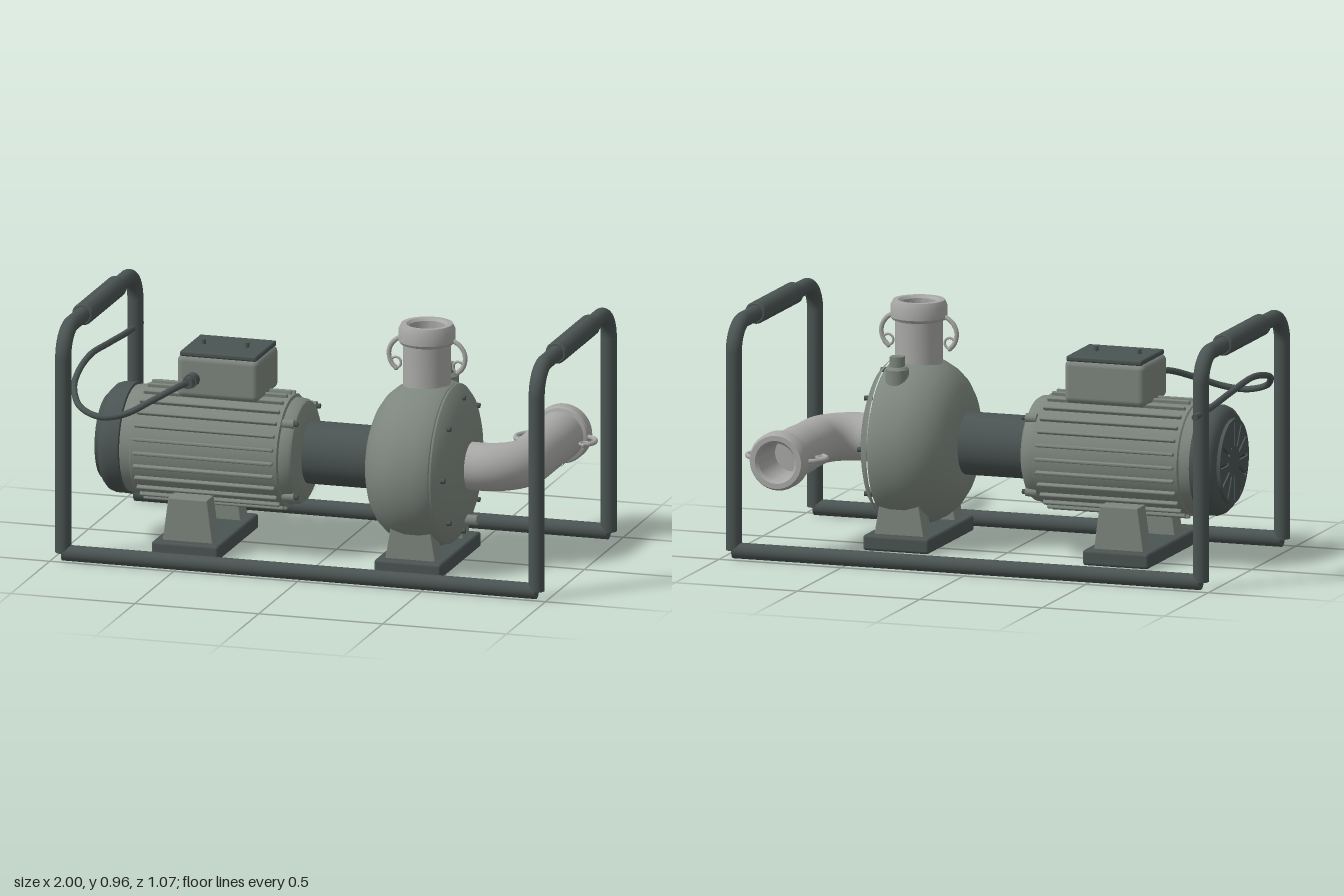
import * as THREE from 'three';
import { toCreasedNormals } from 'three/addons/utils/BufferGeometryUtils.js';
import { RoundedBoxGeometry } from 'three/addons/geometries/RoundedBoxGeometry.js';

const paint = (name, hex) => {
  const m = new THREE.MeshStandardMaterial({ color: hex });
  m.name = name;
  return m;
};
const V = (x, y, z) => new THREE.Vector3(x, y, z);
const AXIS_Y = 0.405, AXIS_Z = 0.082; // shared shaft line of motor and pump

export function createModel() {
  const model = new THREE.Group();
  const dark = paint('darkSteel', 0x4a5452);
  const grey = paint('castGrey', 0x7d867e);
  const pale = paint('paleMetal', 0xa8a8a6);
  const black = paint('shadowBlack', 0x2b3130);

  const add = (name, geo, mat, x = 0, y = 0, z = 0, parent = model) => {
    const mesh = new THREE.Mesh(geo, mat);
    mesh.name = name;
    mesh.position.set(x, y, z);
    parent.add(mesh);
    return mesh;
  };
  const lathe = (pts, seg = 48) => toCreasedNormals(
    new THREE.LatheGeometry(pts.map(p => new THREE.Vector2(...p)), seg), 0.5);
  // profile points are [x along the shaft, radius]
  const shaftLathe = (name, pts, mat, seg) => add(name,
    lathe(pts.map(([x, r]) => [r, x]), seg).rotateZ(-Math.PI / 2), mat, 0, AXIS_Y, AXIS_Z);
  const rod = (r, len, axis, seg = 24) => {
    const g = new THREE.CylinderGeometry(r, r, len, seg);
    if (axis === 'x') g.rotateZ(-Math.PI / 2);
    if (axis === 'z') g.rotateX(Math.PI / 2);
    return g;
  };
  const path = (...curves) => {
    const p = new THREE.CurvePath();
    curves.forEach(c => p.add(c));
    return p;
  };

  // Carrying frame: two rails, two arches, padded grips
  const R = 0.031, ZF = 0.47, ZB = -0.457, TOP = 0.918, BEND = 0.11;
  for (const z of [ZF, ZB]) add('frameRail', rod(R, 1.91, 'x'), dark, 0, 0.033, z);
  for (const x of [-0.955, 0.955]) {
    for (const z of [ZF, ZB]) add('frameUpright', rod(R, TOP - BEND - 0.035, 'y'), dark, x, (TOP - BEND + 0.035) / 2, z);
    const arch = path(
      new THREE.LineCurve3(V(x, TOP - BEND - 0.01, ZF), V(x, TOP - BEND, ZF)),
      new THREE.CubicBezierCurve3(V(x, TOP - BEND, ZF), V(x, TOP - BEND * 0.45, ZF), V(x, TOP, ZF - BEND * 0.45), V(x, TOP, ZF - BEND)),
      new THREE.LineCurve3(V(x, TOP, ZF - BEND), V(x, TOP, ZB + BEND)),
      new THREE.CubicBezierCurve3(V(x, TOP, ZB + BEND), V(x, TOP, ZB + BEND * 0.45), V(x, TOP - BEND * 0.45, ZB), V(x, TOP - BEND, ZB)),
      new THREE.LineCurve3(V(x, TOP - BEND, ZB), V(x, TOP - BEND - 0.01, ZB)));
    add('frameArch', new THREE.TubeGeometry(arch, 90, R, 20), dark);
    add('grip', lathe([[0, -0.22], [0.037, -0.22], [0.043, -0.213], [0.043, 0.213], [0.037, 0.22], [0, 0.22]], 28)
      .rotateX(Math.PI / 2), dark, x, TOP, 0.005);
  }

  // Base plates with tapered support blocks
  const bracket = (x, top) => {
    add('basePlate', new RoundedBoxGeometry(0.27, 0.061, 0.525, 3, 0.012), dark, x, 0.04, AXIS_Z);
    const s = new THREE.Shape();
    s.moveTo(-0.098, 0.065);
    s.lineTo(0.098, 0.065);
    s.lineTo(0.075, top);
    s.lineTo(-0.075, top);
    s.closePath();
    for (const z of [0.222, -0.138]) add('supportBlock', new THREE.ExtrudeGeometry(s,
      { depth: 0.08, bevelEnabled: true, bevelSize: 0.004, bevelThickness: 0.004, bevelSegments: 2 }), grey, x, 0, z);
  };
  bracket(-0.505, 0.235);
  bracket(0.393, 0.2);

  // Motor: body, ribs, end bells, fan cowl
  shaftLathe('motorBody', [[-0.8, 0], [-0.8, 0.19], [-0.79, 0.207], [-0.745, 0.212], [-0.74, 0.218], [-0.15, 0.218],
    [-0.145, 0.208], [-0.11, 0.204], [-0.098, 0.196], [-0.085, 0.17], [-0.078, 0.14], [-0.078, 0]], grey);
  const RIBS = 26;
  for (let i = 0; i < RIBS; i++) {
    const a = (i + 0.5) / RIBS * Math.PI * 2;
    const rib = add('coolingRib', new RoundedBoxGeometry(0.565, 0.026, 0.013, 2, 0.005), grey,
      -0.445, AXIS_Y + Math.cos(a) * 0.22, AXIS_Z + Math.sin(a) * 0.22);
    rib.rotation.x = a;
  }
  for (let i = 0; i < 4; i++) {
    const a = Math.PI / 4 + i * Math.PI / 2;
    const y = AXIS_Y + Math.cos(a) * 0.205, z = AXIS_Z + Math.sin(a) * 0.205;
    add('endBellLug', rod(0.018, 0.045, 'x', 16), grey, -0.122, y, z);
    add('endBellBolt', rod(0.01, 0.02, 'x', 6), dark, -0.094, y, z);
  }
  shaftLathe('fanCowl', [[-0.885, 0], [-0.885, 0.165], [-0.878, 0.19], [-0.862, 0.207], [-0.84, 0.215],
    [-0.79, 0.215], [-0.785, 0.205], [-0.785, 0]], dark);
  const disc = new THREE.Shape().absarc(0, 0, 0.165, 0, Math.PI * 2);
  for (let i = 0; i < 12; i++) {
    const a = i * Math.PI / 6, c = Math.cos(a), s = Math.sin(a);
    const corner = (r, t) => new THREE.Vector2(r * c - t * s, r * s + t * c);
    disc.holes.push(new THREE.Path([corner(0.06, -0.006), corner(0.06, 0.006), corner(0.152, 0.006), corner(0.152, -0.006), corner(0.06, -0.006)]));
  }
  add('fanGrille', new THREE.ExtrudeGeometry(disc, { depth: 0.016, bevelEnabled: false, curveSegments: 40 })
    .rotateY(-Math.PI / 2), dark, -0.883, AXIS_Y, AXIS_Z);
  add('fanShadow', rod(0.155, 0.004, 'x', 40), black, -0.886, AXIS_Y, AXIS_Z);

  // Terminal box, lid, screws and cable
  add('terminalBox', new RoundedBoxGeometry(0.33, 0.17, 0.27, 4, 0.025), grey, -0.415, 0.7, 0.077);
  add('terminalLid', new RoundedBoxGeometry(0.31, 0.022, 0.262, 2, 0.008), dark, -0.413, 0.79, 0.077);
  for (const x of [-0.51, -0.335]) add('lidScrew', rod(0.009, 0.03, 'y', 10), dark, x, 0.805, 0.08);
  add('cableGland', rod(0.028, 0.05, 'z', 12), dark, -0.512, 0.694, 0.23);
  add('cableGlandNut', rod(0.022, 0.05, 'z', 12), dark, -0.512, 0.694, 0.262);
  const cable = new THREE.CatmullRomCurve3([V(-0.512, 0.694, 0.26), V(-0.54, 0.69, 0.34), V(-0.61, 0.655, 0.425), V(-0.7, 0.612, 0.5),
    V(-0.79, 0.6, 0.521), V(-0.88, 0.625, 0.49), V(-0.93, 0.672, 0.41), V(-0.95, 0.705, 0.3), V(-0.957, 0.73, 0.12),
    V(-0.957, 0.716, -0.12), V(-0.957, 0.698, -0.35), V(-0.957, 0.692, -0.53)]);
  add('cable', new THREE.TubeGeometry(cable, 110, 0.0125, 12), dark);
  add('cableEnd', rod(0.0125, 0.02, 'z', 12), dark, -0.957, 0.692, -0.525);

  // Coupling and pump casing
  add('coupling', rod(0.122, 0.3, 'x', 48), dark, 0.06, AXIS_Y, AXIS_Z);
  shaftLathe('pumpCasing', [[0.19, 0], [0.19, 0.13], [0.197, 0.18], [0.213, 0.22], [0.24, 0.26], [0.275, 0.29],
    [0.32, 0.314], [0.37, 0.325], [0.43, 0.325], [0.47, 0.319], [0.49, 0.31], [0.495, 0.303]], grey, 64);
  shaftLathe('pumpCover', [[0.495, 0.312], [0.502, 0.31], [0.525, 0.285], [0.54, 0.25], [0.555, 0.2],
    [0.566, 0.13], [0.571, 0.06], [0.572, 0]], grey, 64);
  for (let i = 0; i < 8; i++) {
    const a = i * Math.PI / 4;
    add('coverBolt', rod(0.01, 0.03, 'x', 12), dark, 0.531, AXIS_Y + Math.cos(a) * 0.265, AXIS_Z + Math.sin(a) * 0.265);
  }
  add('drainPlug', rod(0.021, 0.06, 'x', 6), grey, 0.565, 0.187, AXIS_Z);
  add('fillerBoss', lathe([[0, -0.08], [0.045, -0.08], [0.045, 0.01], [0.036, 0.02], [0, 0.02]], 24), grey, 0.42, 0.7, -0.085);
  add('fillerPlug', rod(0.03, 0.05, 'y', 6), grey, 0.42, 0.735, -0.085);

  // Hose fitting: hollow collar on a pipe stub, with two cam levers; opens along local +y
  const fitting = (name, pipeR, pipeLen) => {
    const g = new THREE.Group();
    g.name = name;
    add('collar', lathe([[pipeR, -pipeLen], [pipeR, 0], [pipeR + 0.012, 0.004], [pipeR + 0.018, 0.014], [pipeR + 0.018, 0.058],
      [pipeR + 0.008, 0.08], [pipeR - 0.012, 0.08], [pipeR - 0.022, 0.07], [pipeR - 0.026, -0.11], [0, -0.11]]), pale, 0, 0, 0, g);
    for (const s of [-1, 1]) {
      const p = (x, y) => V(s * (pipeR + x), y, 0);
      const arm = new THREE.CatmullRomCurve3([p(0.008, 0.02), p(0.035, 0.005), p(0.055, -0.02), p(0.062, -0.05), p(0.053, -0.085), p(0.033, -0.108)]);
      add('camLever', new THREE.TubeGeometry(arm, 24, 0.0095, 8), pale, 0, 0, 0, g);
      add('leverTip', new THREE.SphereGeometry(0.0095, 10, 8), pale, s * (pipeR + 0.033), -0.108, 0, g);
      add('pullRing', new THREE.TorusGeometry(0.021, 0.005, 8, 20), pale, s * (pipeR + 0.034), -0.085, 0, g);
    }
    model.add(g);
    return g;
  };
  fitting('topOutlet', 0.092, 0.24).position.set(0.391, 0.876, AXIS_Z);
  const side = fitting('sideInlet', 0.096, 0.21);
  side.position.set(0.76, 0.402, -0.445);
  side.rotation.x = -Math.PI / 2;

  // Elbow pipe from the pump cover to the side fitting
  const k = 0.15 * 0.5523, py = 0.402;
  const elbow = path(
    new THREE.LineCurve3(V(0.54, py, AXIS_Z), V(0.61, py, AXIS_Z)),
    new THREE.CubicBezierCurve3(V(0.61, py, AXIS_Z), V(0.61 + k, py, AXIS_Z), V(0.76, py, AXIS_Z - 0.15 + k), V(0.76, py, AXIS_Z - 0.15)),
    new THREE.LineCurve3(V(0.76, py, AXIS_Z - 0.15), V(0.76, py, -0.25)));
  add('elbowPipe', new THREE.TubeGeometry(elbow, 48, 0.093, 40), pale);

  return model;
}
